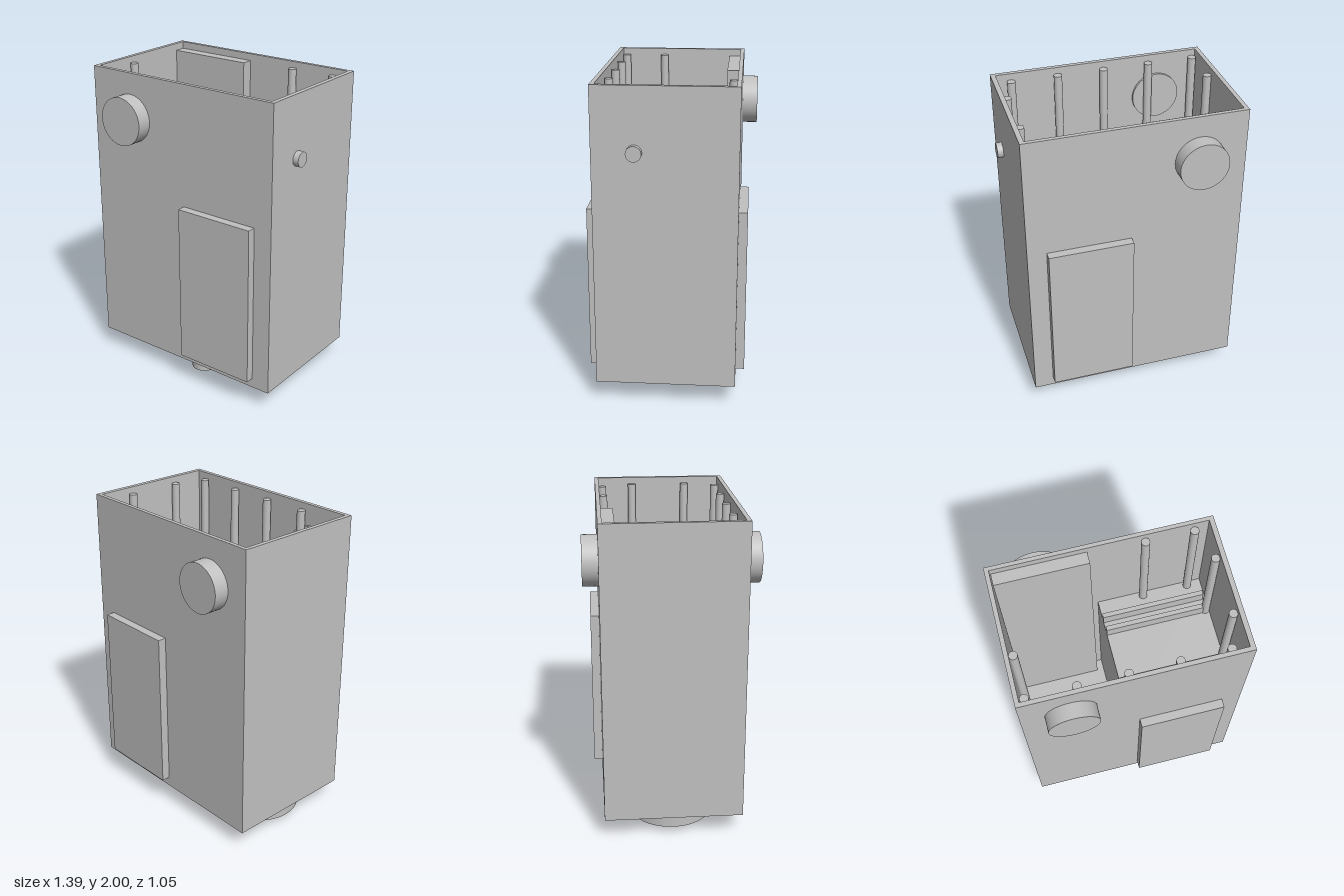
import * as THREE from 'three';

const grey = new THREE.MeshStandardMaterial({ color: 0xc0c0c0 });
grey.name = 'plain grey';

export function createModel() {
  const model = new THREE.Group();
  model.name = 'enclosure';

  const add = (name, geometry) => {
    const mesh = new THREE.Mesh(geometry, grey);
    mesh.name = name;
    model.add(mesh);
    return mesh;
  };
  // box given by its limits on each axis
  const box = (name, x0, x1, y0, y1, z0, z1) =>
    add(name, new THREE.BoxGeometry(x1 - x0, y1 - y0, z1 - z0))
      .position.set((x0 + x1) / 2, (y0 + y1) / 2, (z0 + z1) / 2);
  // cylinder centred at a point, along the chosen axis
  const rod = (name, radius, length, x, y, z, axis = 'y') => {
    const g = new THREE.CylinderGeometry(radius, radius, length, 48);
    if (axis === 'x') g.rotateZ(Math.PI / 2);
    if (axis === 'z') g.rotateX(Math.PI / 2);
    add(name, g).position.set(x, y, z);
  };
  const rectangle = (path, x0, x1, y0, y1) => {
    path.moveTo(x0, y0);
    path.lineTo(x1, y0);
    path.lineTo(x1, y1);
    path.lineTo(x0, y1);
    path.closePath();
    return path;
  };

  // open-topped case: four walls and a floor
  const outline = rectangle(new THREE.Shape(), -0.697, 0.66, -0.43, 0.43);
  outline.holes.push(rectangle(new THREE.Path(), -0.67, 0.63, -0.403, 0.405));
  const walls = new THREE.ExtrudeGeometry(outline, { depth: 1.868, bevelEnabled: false });
  walls.rotateX(-Math.PI / 2);
  add('caseWalls', walls).position.y = 0.132;
  box('caseFloor', -0.69, 0.65, 0.133, 0.16, -0.42, 0.42);

  // raised inner shelf with low ribs, and an upright board by the back wall
  box('innerShelf', -0.05, 0.63, 0.16, 1.22, -0.405, 0.403);
  for (const z of [-0.27, -0.18, 0.175, 0.265])
    box('shelfRib', -0.05, 0.61, 1.21, 1.3, z - 0.015, z + 0.015);
  box('innerBoard', -0.665, -0.098, 0.16, 1.955, -0.404, -0.33);

  // slim posts standing around the inside walls
  const posts = [
    [0.245, -0.38], [0.54, -0.38], [0.607, -0.18], [0.607, 0.175], [-0.645, 0.115],
    [-0.64, 0.375], [-0.345, 0.375], [-0.05, 0.375], [0.245, 0.375], [0.54, 0.375],
  ];
  for (const [x, z] of posts) rod('innerPost', 0.026, 1.81, x, 1.055, z);

  // round knobs and raised panels, mirrored front and back
  for (const side of [1, -1]) {
    rod('knob', 0.153, 0.138, -0.403, 1.713, side * 0.456, 'z');
    box('sidePanel', 0.01, 0.54, 0.195, 1.225, side * 0.455 - 0.029, side * 0.455 + 0.029);
  }

  // small button on the end wall
  rod('button', 0.047, 0.055, 0.669, 1.61, 0.177, 'x');

  // disc and two pegs under the floor
  rod('bottomDisc', 0.26, 0.1, -0.403, 0.097, 0);
  rod('frontPeg', 0.082, 0.145, 0.007, 0.0725, 0.237);
  rod('backPeg', 0.065, 0.145, 0.007, 0.0725, -0.235);

  return model;
}
